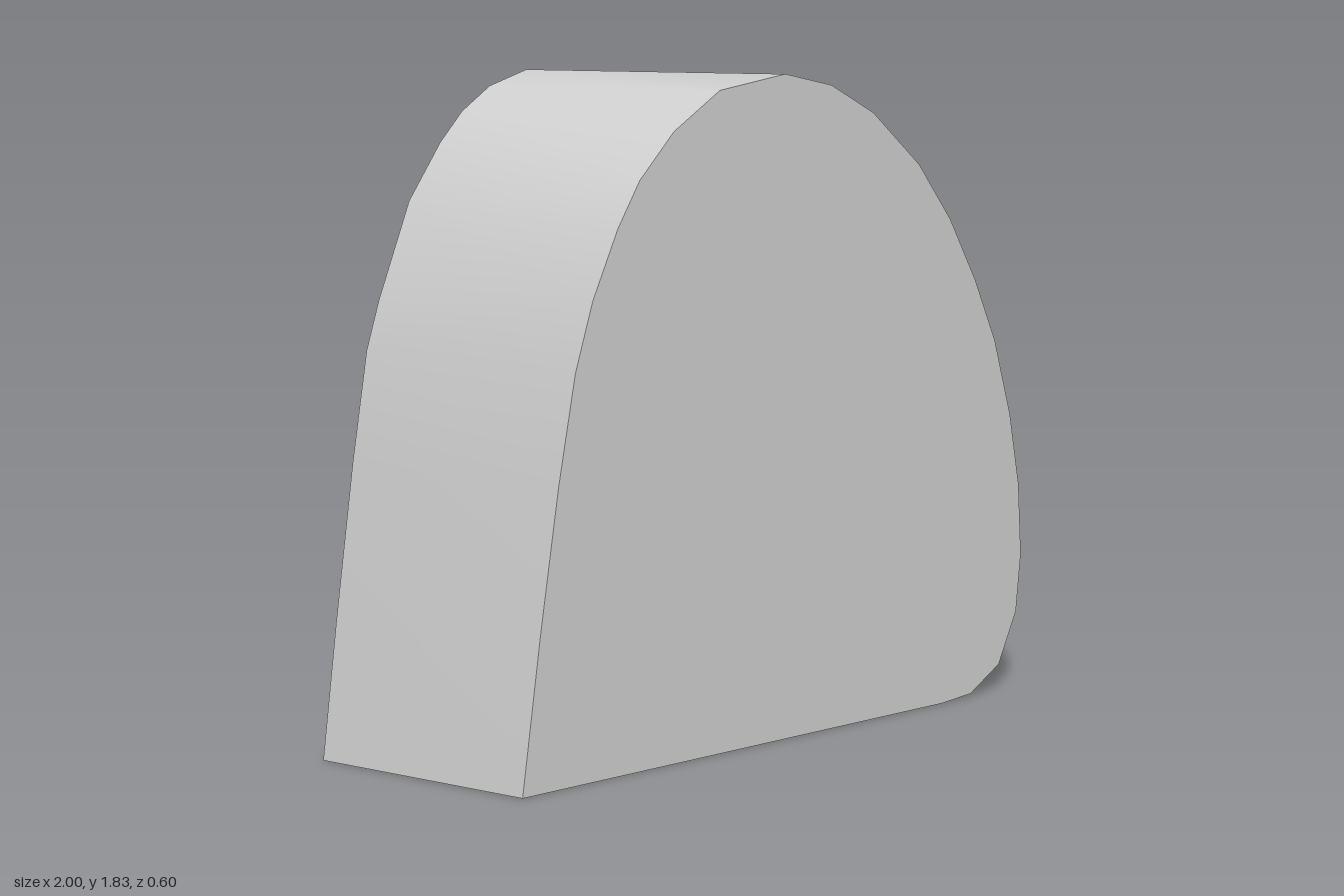
import * as THREE from 'three';
import { ConvexGeometry } from 'three/addons/geometries/ConvexGeometry.js';
import { toCreasedNormals } from 'three/addons/utils/BufferGeometryUtils.js';

// Outlines of the two parallel faces, from the sharp foot over the top to the rounded heel
const frontOutline = [
  [-0.76, 0], [-0.70, 0.42], [-0.64, 0.80], [-0.585, 1.09], [-0.53, 1.27], [-0.45, 1.45],
  [-0.38, 1.57], [-0.27, 1.69], [-0.12, 1.79], [0.10, 1.825], [0.26, 1.79], [0.41, 1.71],
  [0.58, 1.56], [0.70, 1.40], [0.80, 1.22], [0.88, 1.04], [0.945, 0.82], [0.985, 0.61],
  [1.0, 0.40], [0.985, 0.23], [0.92, 0.08], [0.81, 0.01], [0.70, 0],
];
const backOutline = [
  [-1, 0], [-0.95, 0.38], [-0.89, 0.80], [-0.84, 1.10], [-0.80, 1.23], [-0.70, 1.49],
  [-0.60, 1.64], [-0.53, 1.72], [-0.44, 1.785], [-0.32, 1.825], [-0.17, 1.815], [0.0, 1.72],
  [0.16, 1.52], [0.28, 1.24], [0.36, 0.91], [0.40, 0.62], [0.41, 0.44], [0.395, 0.22],
  [0.375, 0.09], [0.335, 0.01], [0.30, 0],
];

export function createModel() {
  const group = new THREE.Group();
  group.name = 'skewedArchBlock';

  // The skin is stretched tightly between both faces
  const place = (outline, z) => outline.map(([x, y]) => new THREE.Vector3(x, y, z));
  const hull = new ConvexGeometry([...place(frontOutline, 0.3), ...place(backOutline, -0.3)]);

  // Soft rounded wall, sharp rims
  const block = new THREE.Mesh(
    toCreasedNormals(hull, 0.45),
    new THREE.MeshStandardMaterial({ color: 0xcccccc }),
  );
  block.name = 'archBlock';
  group.add(block);
  return group;
}
